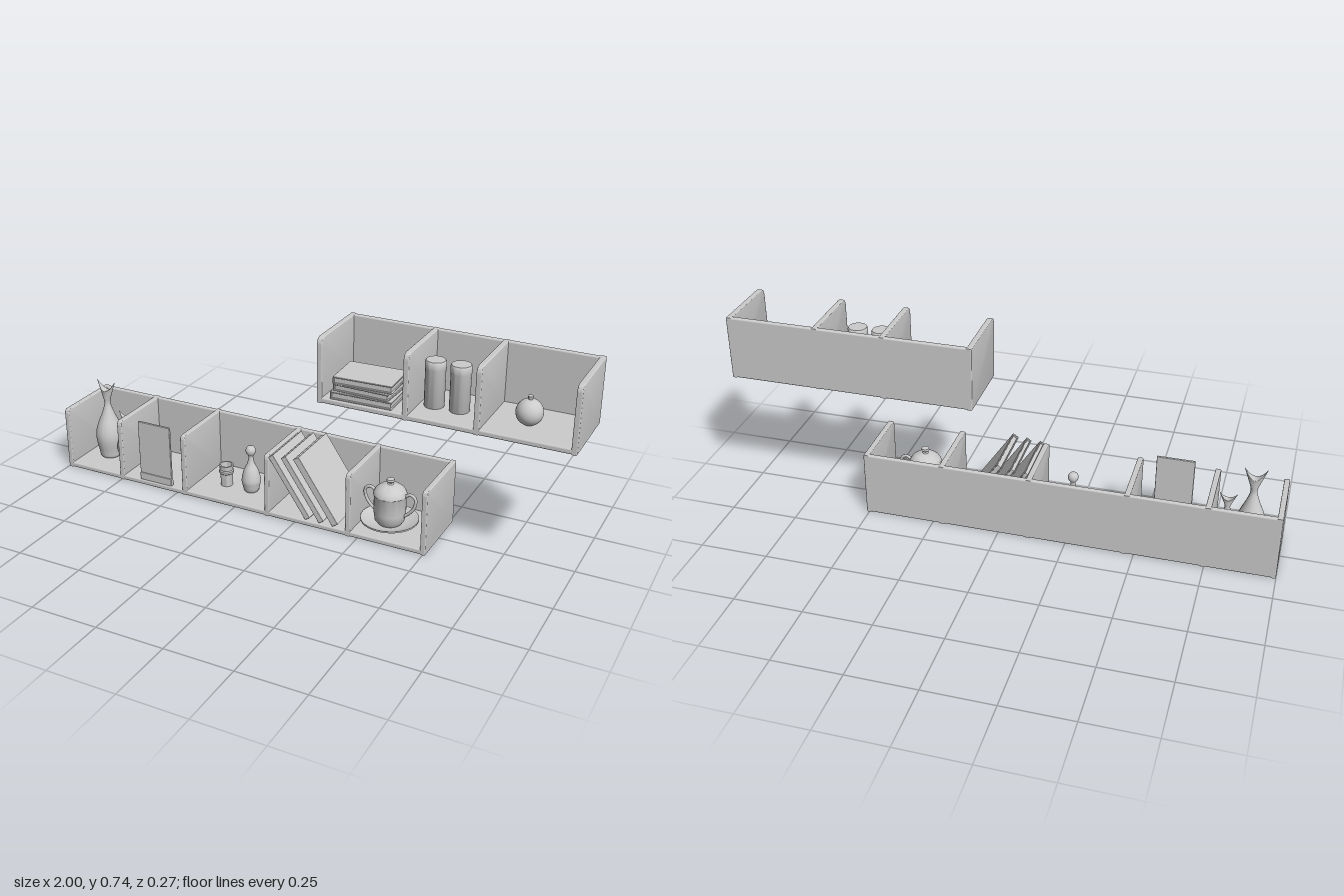
import * as THREE from 'three';
import { RoundedBoxGeometry } from 'three/addons/geometries/RoundedBoxGeometry.js';
import { toCreasedNormals } from 'three/addons/utils/BufferGeometryUtils.js';

const grey = new THREE.MeshStandardMaterial({ color: 0xcccccc, side: THREE.DoubleSide });
const FRONT = 0.135, BACK = -0.137, T = 0.02;

function part(parent, name, geometry, x = 0, y = 0, z = 0) {
  const mesh = new THREE.Mesh(geometry, grey);
  mesh.name = name;
  mesh.position.set(x, y, z);
  parent.add(mesh);
  return mesh;
}

function group(parent, name, x = 0, y = 0, z = 0) {
  const g = new THREE.Group();
  g.name = name;
  g.position.set(x, y, z);
  parent.add(g);
  return g;
}

// Turned form from [radius, height] pairs, smoothed by a spline when asked
function turned(pairs, smooth = false) {
  let pts = pairs.map(([r, y]) => new THREE.Vector2(r, y));
  if (smooth) pts = new THREE.SplineCurve(pts).getPoints(40).map(p => p.set(Math.max(p.x, 0), p.y));
  const geo = new THREE.LatheGeometry(pts, 32);
  return smooth ? geo : toCreasedNormals(geo, 0.6);
}

// Upright panel with a rounded top front corner, standing across x
function wallGeometry(h, r) {
  const s = new THREE.Shape();
  s.moveTo(BACK, 0);
  s.lineTo(FRONT, 0);
  s.lineTo(FRONT, h - r);
  s.quadraticCurveTo(FRONT, h, FRONT - r, h);
  s.lineTo(BACK, h);
  s.closePath();
  const b = 0.004;
  const geo = new THREE.ExtrudeGeometry(s, {
    depth: T - 2 * b, bevelThickness: b, bevelSize: b, bevelOffset: -b, bevelSegments: 3, curveSegments: 8,
  });
  geo.translate(0, 0, b - T / 2);
  geo.rotateY(-Math.PI / 2);
  return toCreasedNormals(geo, 0.7);
}

// Open-topped tray: floor, back, and walls at the given x centres
function shelf(parent, name, x0, x1, y, h, r, dividers) {
  const g = group(parent, name, 0, y, 0);
  const w = x1 - x0, cx = (x0 + x1) / 2, d = FRONT - BACK;
  part(g, 'floor', new RoundedBoxGeometry(w, T, d, 3, 0.006), cx, T / 2, (FRONT + BACK) / 2);
  part(g, 'backPanel', new RoundedBoxGeometry(w, h, 0.018, 3, 0.006), cx, h / 2, BACK + 0.009);
  const wall = wallGeometry(h, r);
  [x0 + T / 2, x1 - T / 2].forEach(x => part(g, 'endWall', wall, x));
  dividers.forEach(x => part(g, 'divider', wall, x));
  return g;
}

// Vase whose mouth is flattened and split into two upswept points
function forkedVase(parent, name, x, y, z, sr, sy) {
  const geo = turned([[0, 0], [0.036, 0.002], [0.044, 0.03], [0.053, 0.085], [0.046, 0.13], [0.026, 0.18],
    [0.013, 0.22], [0.013, 0.245], [0.014, 0.268], [0.015, 0.28], [0, 0.281]], true);
  const p = geo.attributes.position;
  for (let i = 0; i < p.count; i++) {
    const f = THREE.MathUtils.smoothstep(p.getY(i), 0.235, 0.281);
    const u = p.getX(i) / 0.015;
    p.setX(i, p.getX(i) * (1 + 1.6 * f));
    p.setZ(i, p.getZ(i) * (1 - 0.75 * f * Math.min(1, u * u)));
    p.setY(i, p.getY(i) + 0.038 * f * u * u);
  }
  geo.computeVertexNormals();
  part(parent, name, geo, x, y, z).scale.set(sr, sy, sr);
}

// Book lying flat: two covers, a spine on -x and a recessed page block
function book(parent, name, w, t, d) {
  const g = group(parent, name);
  const c = 0.005;
  for (const s of [-1, 1]) {
    part(g, 'cover', new RoundedBoxGeometry(w, c, d, 2, 0.002), 0, s * (t - c) / 2, 0);
  }
  part(g, 'spine', new RoundedBoxGeometry(c, t, d, 2, 0.002), (c - w) / 2, 0, 0);
  part(g, 'pages', new THREE.BoxGeometry(w - 0.01, t - c, d - 0.012), 0, 0, 0);
  return g;
}

export function createModel() {
  const model = new THREE.Group();
  model.name = 'wallShelves';

  const lower = shelf(model, 'lowerShelf', -1, 0.51, 0, 0.246, 0.018, [-0.747, -0.465, -0.112, 0.213]);
  const upper = shelf(model, 'upperShelf', 0.09, 1, 0.497, 0.238, 0.028, [0.415, 0.665]);

  // Vases in the first bay
  forkedVase(lower, 'tallVase', -0.885, T, 0.012, 1, 1);
  forkedVase(lower, 'smallVase', -0.8, T, 0.012, 0.8, 0.64);

  // Standing panel near the front edge
  const frame = group(lower, 'pictureFrame', -0.594, T, 0.125);
  part(frame, 'panel', new RoundedBoxGeometry(0.14, 0.242, 0.01, 2, 0.003), 0, 0.121, 0);
  part(frame, 'foot', new RoundedBoxGeometry(0.14, 0.03, 0.016, 2, 0.003), 0, 0.015, 0);

  // Small cup and stoppered bottle
  part(lower, 'cup', turned([[0, 0], [0.022, 0], [0.024, 0.05], [0.028, 0.054], [0.028, 0.062], [0.025, 0.066],
    [0.027, 0.085], [0.022, 0.085], [0.02, 0.06], [0, 0.06]]), -0.347, T, 0.02);
  part(lower, 'bottle', turned([[0, 0], [0.025, 0.001], [0.034, 0.03], [0.036, 0.05], [0.028, 0.085], [0.014, 0.115],
    [0.009, 0.143], [0.017, 0.157], [0.019, 0.17], [0.013, 0.182], [0, 0.185]], true), -0.24, T, 0.02);

  // Leaning books
  const lean = THREE.MathUtils.degToRad(34);
  [[0.265, 0.022], [0.272, 0.022], [0.28, 0.026]].forEach(([len, t], i) => {
    const b = book(lower, 'leaningBook', t, len, 0.225);
    b.children.forEach(m => m.geometry.dispose());
    b.clear();
    for (const s of [-1, 1]) {
      part(b, 'cover', new RoundedBoxGeometry(0.005, len, 0.225, 2, 0.002), s * (t - 0.005) / 2, 0, 0);
    }
    part(b, 'spine', new RoundedBoxGeometry(t, len, 0.006, 2, 0.002), 0, 0, 0.1095);
    part(b, 'pages', new THREE.BoxGeometry(t - 0.005, len - 0.012, 0.21), 0, 0, 0);
    b.rotation.z = lean;
    const rise = (len * Math.cos(lean) + t * Math.sin(lean)) / 2;
    b.position.set(-0.022 + i * 0.053, T + rise, 0.018);
  });

  // Lidded pot with two handles on a saucer
  const pot = group(lower, 'teaPot', 0.33, T, 0.03);
  part(pot, 'saucer', turned([[0, 0], [0.055, 0], [0.065, 0.008], [0.105, 0.029], [0.105, 0.035], [0.06, 0.016],
    [0, 0.014]]));
  part(pot, 'body', turned([[0, 0.014], [0.042, 0.014], [0.054, 0.03], [0.058, 0.06], [0.058, 0.125], [0.061, 0.13],
    [0.059, 0.137], [0.052, 0.15], [0.035, 0.163], [0.012, 0.17], [0.009, 0.175], [0.015, 0.181], [0.014, 0.189],
    [0, 0.193]]));
  for (const s of [-1, 1]) {
    const path = new THREE.CatmullRomCurve3([[0.052, 0.128], [0.078, 0.142], [0.096, 0.128], [0.092, 0.095],
      [0.075, 0.07], [0.052, 0.05]].map(([x, y]) => new THREE.Vector3(s * x, y, 0)));
    part(pot, 'handle', new THREE.TubeGeometry(path, 24, 0.006, 8));
  }

  // Stack of flat books
  [[0.225, 0.028, 0.17, 0.02], [0.205, 0.026, 0.16, -0.03], [0.215, 0.028, 0.155, 0.04]]
    .reduce((y, [w, t, d, turn]) => {
      const b = book(upper, 'stackedBook', w, t, d);
      b.position.set(0.25, y + t / 2, 0.043);
      b.rotation.y = turn;
      return y + t;
    }, T);

  // Pair of canisters
  for (const x of [0.475, 0.565]) {
    part(upper, 'canister', turned([[0, 0], [0.033, 0], [0.035, 0.004], [0.035, 0.135], [0.036, 0.138], [0.036, 0.162],
      [0.033, 0.167], [0, 0.168]]), x, T, 0.02);
  }

  // Round ornament with a small stem
  const ball = group(upper, 'roundOrnament', 0.805, T + 0.045, 0.02);
  part(ball, 'sphere', new THREE.SphereGeometry(0.046, 32, 20));
  part(ball, 'stem', new THREE.CylinderGeometry(0.01, 0.007, 0.014, 16), 0, 0.05, 0);

  return model;
}
